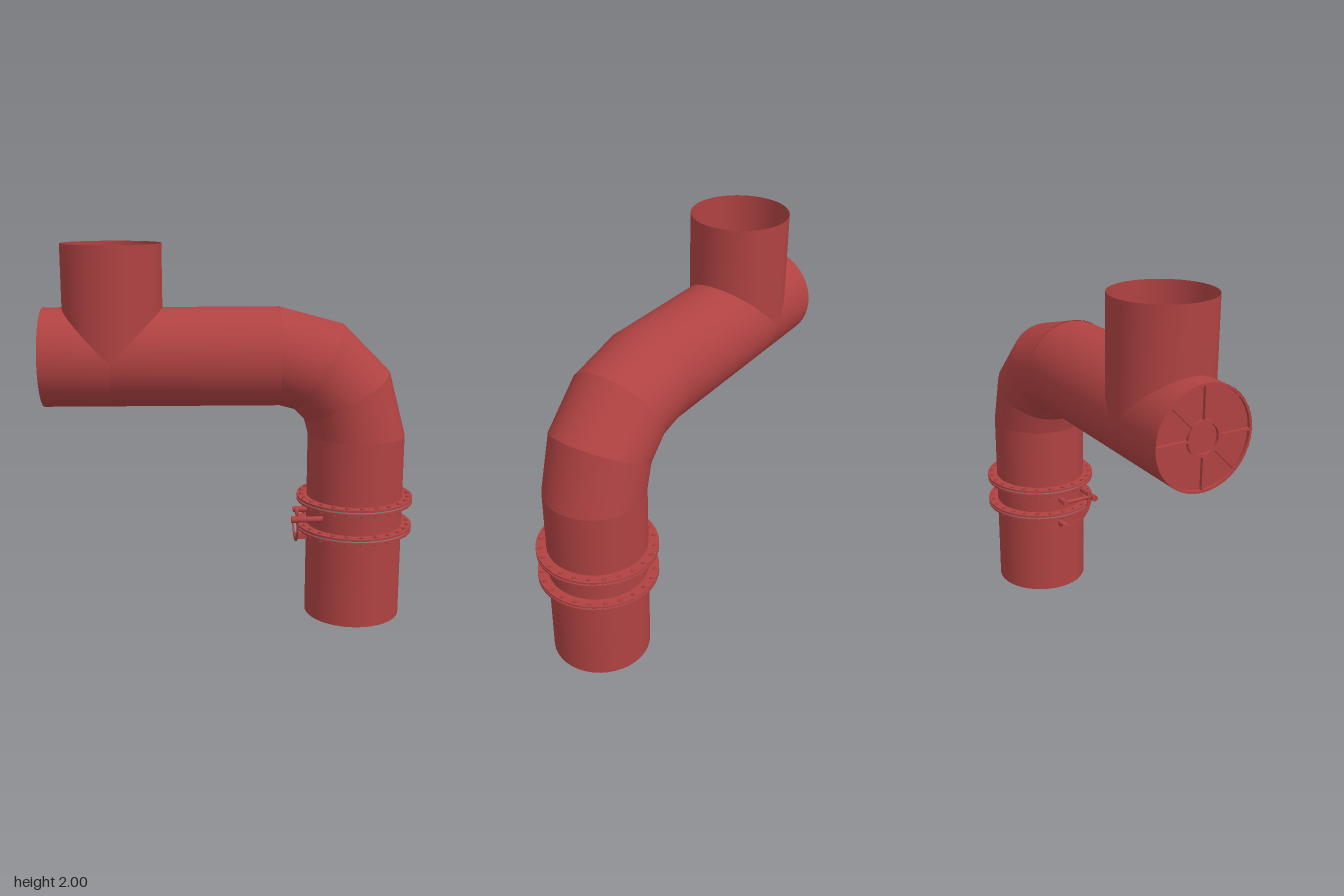
import * as THREE from 'three';
import { toCreasedNormals } from 'three/addons/utils/BufferGeometryUtils.js';

const R = 0.257;              // pipe radius
const PX = 0.66;              // axis of the upright pipe
const PY = 1.418;             // axis of the level pipe
const TX = -0.616;            // axis of the branch
const BEND = [0.24, 1.0];     // centre of the elbow
const BEND_R = 0.42;
const SIDES = 40;

export function createModel() {
  const red = new THREE.MeshStandardMaterial({ color: 0xb04242, side: THREE.DoubleSide });
  red.name = 'red paint';
  const grey = new THREE.MeshStandardMaterial({ color: 0x8c8484 });
  grey.name = 'grey gasket';
  const model = new THREE.Group();
  model.name = 'pipeAssembly';

  function add(name, geometry, parent = model, material = red) {
    const mesh = new THREE.Mesh(geometry, material);
    mesh.name = name;
    parent.add(mesh);
    return mesh;
  }

  // Open pipe wall between two rings given as functions of the angle
  function sleeve(name, ringA, ringB) {
    const pos = [], index = [];
    for (let i = 0; i <= SIDES; i++) {
      const t = (i / SIDES) * Math.PI * 2;
      pos.push(...ringA(Math.cos(t) * R, Math.sin(t) * R), ...ringB(Math.cos(t) * R, Math.sin(t) * R));
      const a = i * 2;
      if (i < SIDES) index.push(a, a + 1, a + 2, a + 1, a + 3, a + 2);
    }
    const g = new THREE.BufferGeometry();
    g.setAttribute('position', new THREE.Float32BufferAttribute(pos, 3));
    g.setIndex(index);
    add(name, toCreasedNormals(g, 0.6));
  }
  const upright = y => (c, s) => [PX + c, y, s];
  const level = x => (c, s) => [x, PY + c, s];
  const bend = deg => (c, s) => {
    const a = THREE.MathUtils.degToRad(deg);
    return [BEND[0] + Math.sin(a) * (BEND_R + c), BEND[1] + Math.cos(a) * (BEND_R + c), s];
  };

  // Pipe run: upright, three-piece elbow, level pipe mitred around the branch
  sleeve('uprightPipe', upright(0), upright(BEND[1]));
  for (const d of [0, 30, 60]) sleeve('elbowSegment', bend(d + 30), bend(d));
  sleeve('levelPipe', level(BEND[0]), (c, s) => [TX + Math.max(0, c), PY + c, s]);
  sleeve('levelPipeEnd', (c, s) => [TX - Math.max(0, c), PY + c, s], level(-0.975));
  sleeve('branchPipe', (c, s) => [TX + c, PY + Math.abs(c), s], (c, s) => [TX + c, 2, s]);

  // Flat ring with its axis along y, standing on y = 0
  function ring(outer, inner, height) {
    const shape = new THREE.Shape().absarc(0, 0, outer, 0, Math.PI * 2);
    shape.holes.push(new THREE.Path().absarc(0, 0, inner, 0, Math.PI * 2, true));
    const g = new THREE.ExtrudeGeometry(shape, { depth: height, bevelEnabled: false, curveSegments: 32 });
    return toCreasedNormals(g.rotateX(-Math.PI / 2), 0.6);
  }

  // Bolted flange pairs
  const plate = ring(0.31, 0.254, 0.011);
  const gasket = ring(0.303, 0.254, 0.008);
  const head = new THREE.CylinderGeometry(0.013, 0.013, 0.012, 6);
  const shank = new THREE.CylinderGeometry(0.007, 0.007, 0.056, 8);
  for (const y of [0.65, 0.495]) {
    const flange = new THREE.Group();
    flange.name = 'flange';
    flange.position.set(PX, y, 0);
    model.add(flange);
    add('flangePlate', plate, flange).position.y = 0.004;
    add('flangePlate', plate, flange).position.y = -0.015;
    add('gasket', gasket, flange, grey).position.y = -0.004;
    for (let i = 0; i < 24; i++) {
      const a = (i / 24) * Math.PI * 2;
      const x = Math.cos(a) * 0.288, z = Math.sin(a) * 0.288;
      add('boltHead', head, flange).position.set(x, 0.016, z);
      add('boltNut', head, flange).position.set(x, -0.021, z);
      add('boltShank', shank, flange).position.set(x, -0.003, z);
    }
  }

  // Ribbed cover closing the level pipe
  const cover = new THREE.Group();
  cover.name = 'endCover';
  cover.position.set(-0.975, PY, 0);
  cover.rotation.z = Math.PI / 2;   // local +y points out of the pipe
  model.add(cover);
  add('coverDisc', new THREE.CylinderGeometry(R - 0.002, R - 0.002, 0.006, SIDES), cover).position.y = -0.02;
  add('coverRim', ring(R - 0.001, R - 0.012, 0.018), cover).position.y = -0.018;
  add('coverHub', ring(0.088, 0.074, 0.018), cover).position.y = -0.018;
  for (let i = 0; i < 8; i++) {
    const spoke = new THREE.BoxGeometry(0.165, 0.018, 0.012).translate(0.166, -0.009, 0);
    add('coverRib', spoke, cover).rotation.y = (i / 8) * Math.PI * 2;
  }

  // Valve lever with its curved guide
  const lever = new THREE.Group();
  lever.name = 'valveLever';
  lever.position.set(0, 0.58, 0);
  model.add(lever);
  const rod = (r, length) => new THREE.CylinderGeometry(r, r, length, 16);
  add('pivot', rod(0.016, 0.09).rotateZ(Math.PI / 2), lever).position.x = 0.375;
  add('leverArm', rod(0.011, 0.18).rotateX(Math.PI / 2), lever).position.set(0.345, 0, 0.09);
  add('grip', rod(0.016, 0.14).rotateZ(Math.PI / 2), lever).position.set(0.4, 0, 0.178);
  add('gripTip', rod(0.018, 0.025).rotateZ(Math.PI / 2), lever).position.set(0.3175, 0, 0.178);
  const arc = new THREE.Shape();
  arc.absarc(0, 0, 0.172, 0.23, -2.4, true);
  arc.absarc(0, 0, 0.15, -2.4, 0.23, false);
  const guide = new THREE.ExtrudeGeometry(arc, { depth: 0.008, bevelEnabled: false, curveSegments: 20 });
  add('guide', toCreasedNormals(guide.rotateY(-Math.PI / 2), 0.6), lever).position.x = 0.346;
  add('guideBracket', new THREE.BoxGeometry(0.07, 0.028, 0.03), lever).position.set(0.378, -0.152, 0);

  return model;
}
